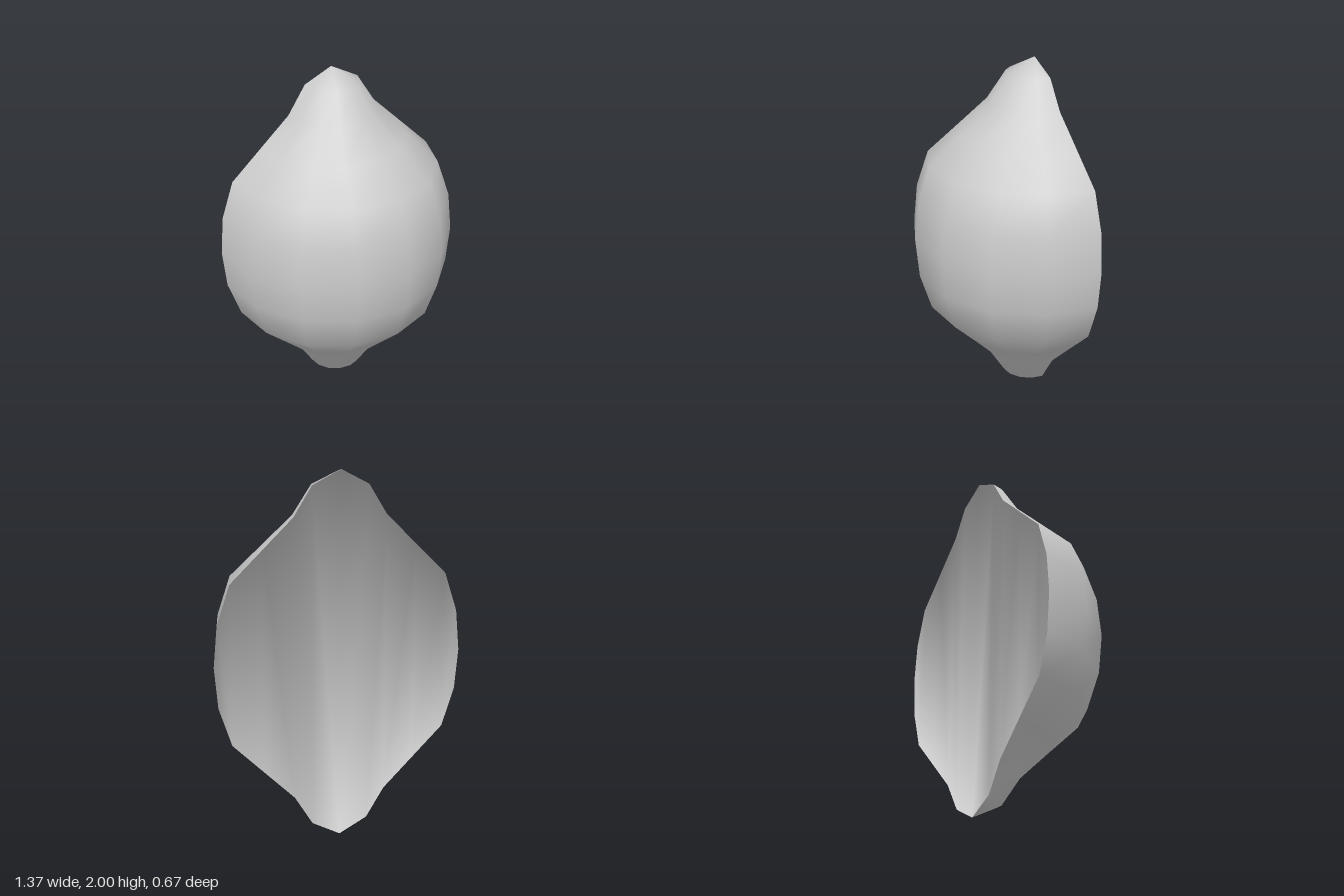
import * as THREE from 'three';

const BACK = -0.333;
// lower half of the profile, tip to middle: height, half width, depth
const half = [
  [0, 0, 0], [0.08, 0.155, 0.153], [0.24, 0.255, 0.253], [0.4, 0.42, 0.41],
  [0.57, 0.595, 0.58], [0.78, 0.665, 0.645], [1, 0.685, 0.666],
];
const profile = [...half, ...half.slice(0, -1).reverse().map(([y, w, d]) => [2 - y, w, d])];
// half-round cross-section, from -x over the front to +x: width and depth fractions
const arc = [[0.23, 1], [0.625, 0.8], [0.9, 0.44], [1, 0]];
const section = [...arc.slice().reverse().map(([x, d]) => [-x, d]), ...arc];

function createHalfLemon() {
  const top = profile.length - 1, edge = section.length - 1;

  // two tip vertices, then the rings between them
  const pos = [0, 0, BACK, 0, 2, BACK];
  for (const [y, w, d] of profile.slice(1, -1)) {
    for (const [fx, fd] of section) pos.push(fx * w, y, BACK + fd * d);
  }
  const at = (j, i) => (j === 0 ? 0 : j === top ? 1 : 2 + (j - 1) * section.length + i);

  const index = [];
  const tri = (a, b, c) => {
    if (a !== b && b !== c && c !== a) index.push(a, b, c);
  };
  const quad = (a, b, c, d) => {
    tri(a, b, c);
    tri(a, c, d);
  };

  // rounded peel
  for (let j = 0; j < top; j++) {
    for (let i = 0; i < edge; i++) quad(at(j, i), at(j, i + 1), at(j + 1, i + 1), at(j + 1, i));
  }
  const geo = new THREE.BufferGeometry();
  geo.setAttribute('position', new THREE.Float32BufferAttribute(pos, 3));
  geo.setIndex(index);
  geo.computeVertexNormals();

  // flat back in upright strips, sharing the smooth normals of the peel
  for (let j = 0; j < top / 2; j++) {
    quad(at(j, edge), at(top - j, edge), at(top - j - 1, edge), at(j + 1, edge));
    quad(at(j, 0), at(j + 1, 0), at(top - j - 1, 0), at(top - j, 0));
  }
  geo.setIndex(index);
  return geo;
}

export function createModel() {
  const group = new THREE.Group();
  group.name = 'halfLemon';
  const lemon = new THREE.Mesh(createHalfLemon(), new THREE.MeshStandardMaterial({ color: 0xcccccc }));
  lemon.name = 'lemonHalf';
  group.add(lemon);
  return group;
}
